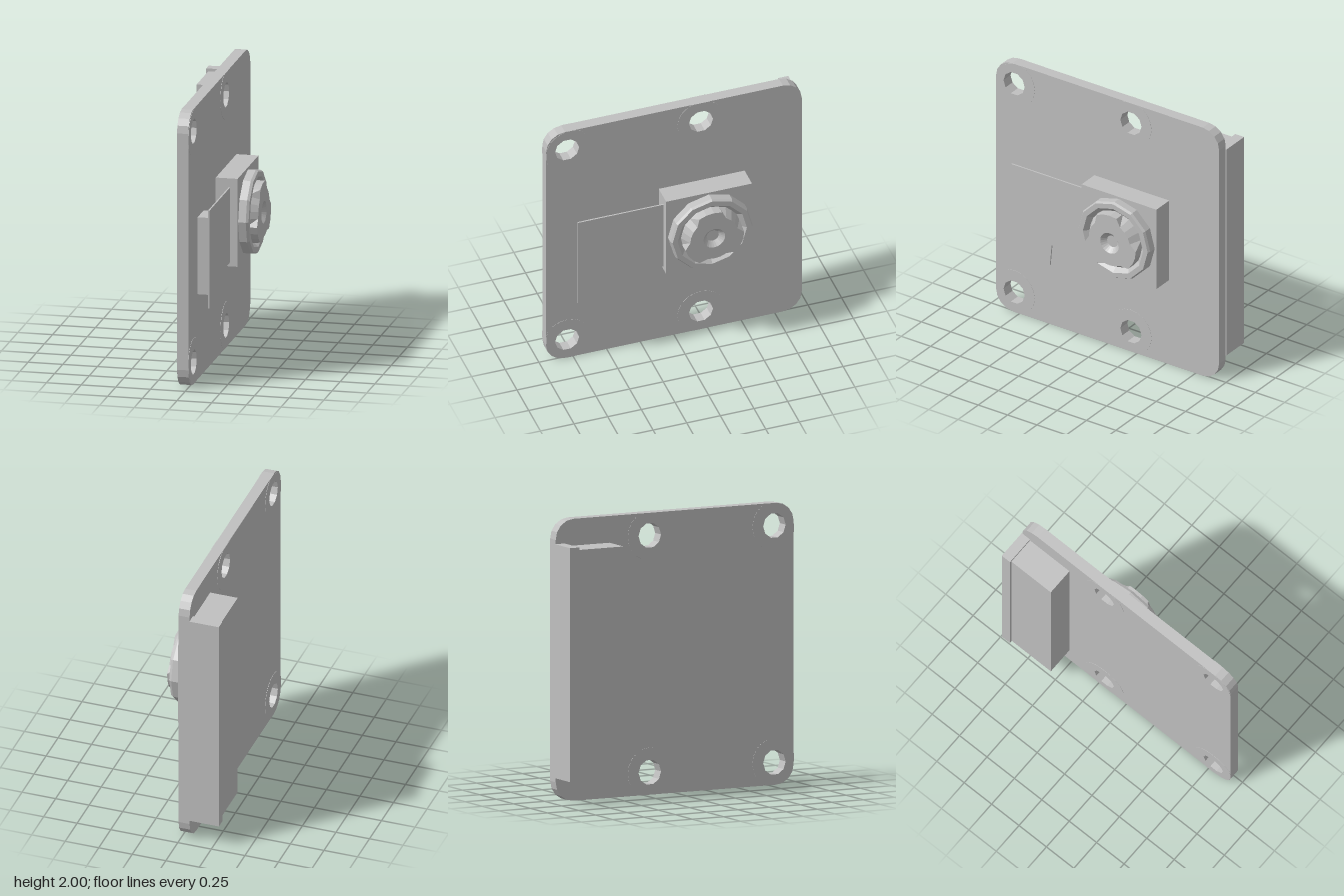
import * as THREE from 'three';

const HOLES = [[-0.795, 1.84], [-0.795, 0.16], [0.2, 1.84], [0.2, 0.16]]; // u = -z, v = y

export function createModel() {
  const group = new THREE.Group();
  const grey = new THREE.MeshStandardMaterial({ color: 0xc0c0c0, flatShading: true });
  grey.name = 'light grey';

  const add = (name, geometry) => {
    const mesh = new THREE.Mesh(geometry, grey);
    mesh.name = name;
    group.add(mesh);
    return mesh;
  };
  const box = (name, x0, x1, y0, y1, z0, z1) => {
    const g = new THREE.BoxGeometry(x1 - x0, y1 - y0, z1 - z0);
    add(name, g.translate((x0 + x1) / 2, (y0 + y1) / 2, (z0 + z1) / 2));
  };
  // extrude a (-z, y) outline along x
  const slab = (name, shape, x0, x1) => {
    const g = new THREE.ExtrudeGeometry(shape, { depth: x1 - x0, bevelEnabled: false });
    add(name, g.rotateY(Math.PI / 2).translate(x0, 0, 0));
  };
  const arc = (u, v, r, from, to, n) => Array.from({ length: n + 1 }, (_, i) => {
    const a = from + (to - from) * i / n;
    return new THREE.Vector2(u + r * Math.cos(a), v + r * Math.sin(a));
  });
  const hole = (u, v) => new THREE.Path(arc(u, v, 0.09, 0, Math.PI * 2, 10).slice(0, -1));

  // board with rounded corners and four screw holes
  const R = 0.14, U = 0.95, q = Math.PI / 2;
  const board = new THREE.Shape([
    ...arc(U - R, 2 - R, R, 0, q, 4),
    ...arc(R - U, 2 - R, R, q, 2 * q, 4),
    ...arc(R - U, R, R, 2 * q, 3 * q, 4),
    ...arc(U - R, R, R, 3 * q, 4 * q, 4),
  ]);
  board.holes = HOLES.map(([u, v]) => hole(u, v));
  slab('board', board, -0.07, 0.012);

  // thin pads round the holes, trimmed to the board edge
  for (const [u, v] of HOLES) {
    const points = arc(u, v, 0.175, 0, Math.PI * 2, 20).slice(0, -1).map((p) => {
      const d = p.clone().sub(new THREE.Vector2(u, v));
      if (u < 0 && d.x < 0 && d.y * (v - 1) > 0) d.setLength(0.153);
      return new THREE.Vector2(Math.max(u + d.x, -U), THREE.MathUtils.clamp(v + d.y, 0, 2));
    });
    const pad = new THREE.Shape(points);
    pad.holes = [hole(u, v)];
    slab('screwPad', pad, 0.011, 0.014);
    slab('screwPad', pad, -0.072, -0.069);
  }

  // long connector on the back of the board
  box('connectorBody', -0.275, -0.069, 0.19, 1.81, -0.89, -0.52);
  box('connectorLip', -0.29, -0.069, 0.17, 1.83, -0.955, -0.88);

  // camera housing
  box('cameraHousing', 0.011, 0.17, 0.68, 1.32, -0.525, 0.113);

  // parts turned round the lens axis, from (radius, x) profiles
  const turned = (name, profile, sides, rule) => {
    const g = new THREE.LatheGeometry(profile.map(([r, x]) => new THREE.Vector2(r, x)), sides);
    if (rule) rule(g.attributes.position);
    add(name, g.rotateZ(-Math.PI / 2).translate(0, 1, -0.205));
  };
  turned('lensBarrel', [[0.305, 0.168], [0.305, 0.225], [0.295, 0.243], [0.257, 0.243],
    [0.22, 0.205], [0, 0.205]], 12);

  // raised lens face with three sloping grip notches and a central aperture
  const face = [[0.222, 0.204], [0.222, 0.285], [0.08, 0.285], [0.045, 0.25], [0, 0.25]];
  turned('lensFace', face, 24, (p) => {
    for (let i = 0; i < p.count; i++) {
      const ring = i % face.length;
      const step = Math.floor(i / face.length) % 8;
      if (ring === 1 && (step >= 5 || step === 0) === false && step >= 1 && step <= 4) {
        // plain rim between notches
        continue;
      }
      if (ring === 1) {
        const x = p.getX(i), z = p.getZ(i), k = 0.178 / Math.hypot(x, z);
        p.setXYZ(i, x * k, p.getY(i), z * k);
      }
    }
  });

  // flat flex cable and its socket
  slab('flexCable', new THREE.Shape([[-0.75, 0.545], [-0.42, 0.545], [-0.405, 0.71],
    [-0.112, 0.71], [-0.112, 1.255], [-0.75, 1.255]].map(([u, v]) => new THREE.Vector2(u, v))), 0.105, 0.116);
  box('flexSocket', 0.011, 0.106, 0.62, 1.18, 0.48, 0.67);

  return group;
}
